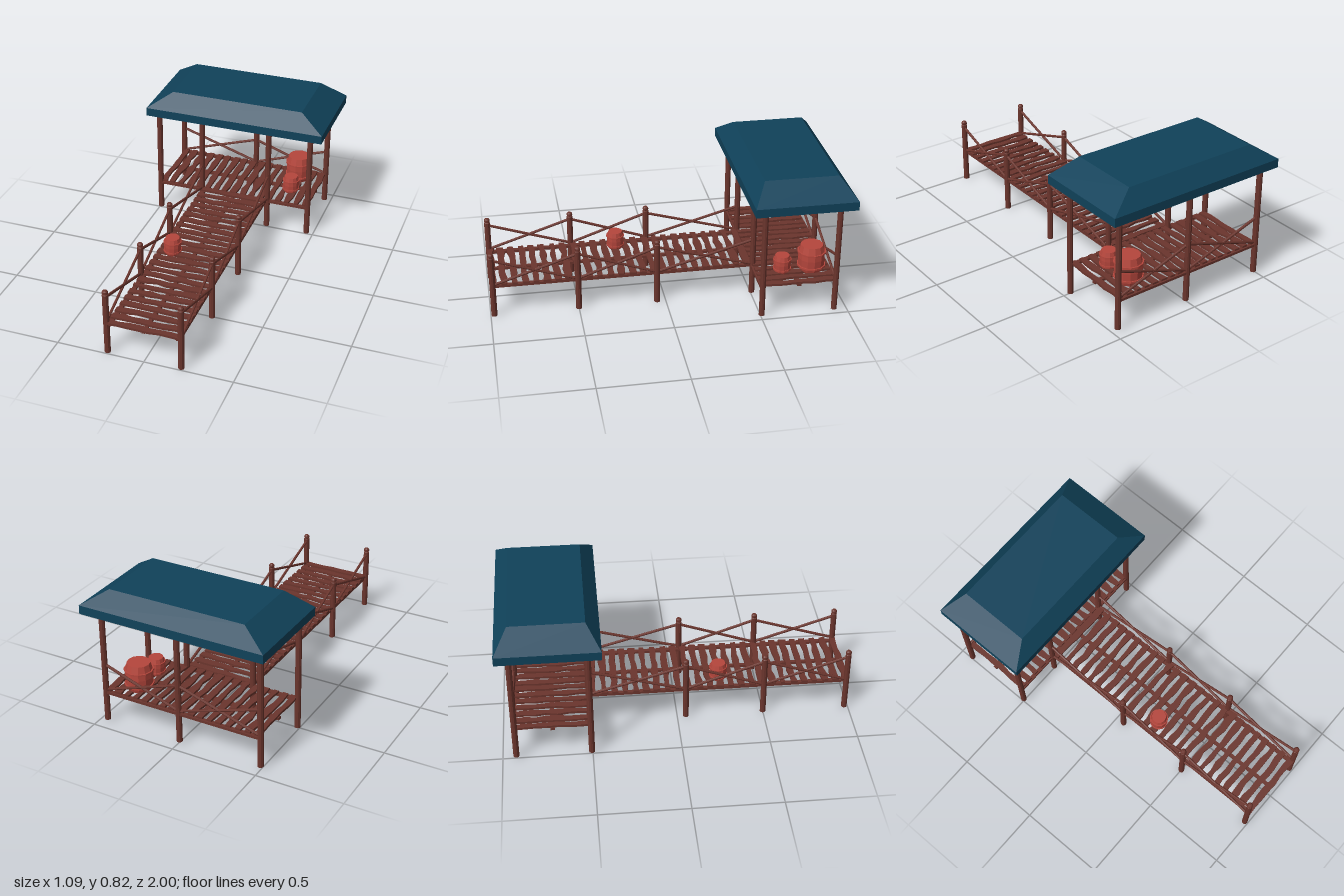
import * as THREE from 'three';

const wood = new THREE.MeshStandardMaterial({ color: 0x6b352d, flatShading: true });
wood.name = 'wood';
const roofBlue = new THREE.MeshStandardMaterial({ color: 0x10425a, flatShading: true });
roofBlue.name = 'roofBlue';
const barrelRed = new THREE.MeshStandardMaterial({ color: 0xb5463c, flatShading: true });
barrelRed.name = 'barrelRed';

let seed = 7;
const rand = () => (seed = (seed * 16807) % 2147483647) / 2147483647;

function add(parent, name, geometry, material, x = 0, y = 0, z = 0) {
  const mesh = new THREE.Mesh(geometry, material);
  mesh.name = name;
  mesh.position.set(x, y, z);
  parent.add(mesh);
  return mesh;
}

const lathe = (points, sides) =>
  new THREE.LatheGeometry(points.map(([r, y]) => new THREE.Vector2(r, y)), sides);

// Round pole between two points
function pole(parent, name, a, b, radius) {
  const from = new THREE.Vector3(...a), to = new THREE.Vector3(...b);
  const dir = to.clone().sub(from);
  const mesh = add(parent, name, new THREE.CylinderGeometry(radius, radius, dir.length(), 8), wood);
  mesh.position.copy(from).add(to).multiplyScalar(0.5);
  mesh.quaternion.setFromUnitVectors(new THREE.Vector3(0, 1, 0), dir.normalize());
}

// Pair of crossed braces between two posts
function crossBrace(parent, [x1, z1], [x2, z2]) {
  pole(parent, 'brace', [x1, 0.353, z1], [x2, 0.195, z2], 0.008);
  pole(parent, 'brace', [x1, 0.195, z1], [x2, 0.353, z2], 0.008);
}

// Rough plank along x with uneven long edges
function plankGeometry(length, width) {
  const segments = 7;
  const geo = new THREE.BoxGeometry(length, 0.013, width, segments, 1, 1);
  const edges = [0, 1].map(() => Array.from({ length: segments + 1 }, () => (rand() - 0.5) * 0.014));
  const p = geo.attributes.position;
  for (let i = 0; i < p.count; i++) {
    const k = Math.round((p.getX(i) / length + 0.5) * segments);
    p.setZ(i, p.getZ(i) + edges[p.getZ(i) > 0 ? 1 : 0][k]);
  }
  geo.computeVertexNormals();
  return geo;
}

// Barrel with bulging staves and two hoops
function barrel(parent, x, z, radius, height) {
  const group = new THREE.Group();
  group.name = 'barrel';
  group.position.set(x, 0.195, z);
  parent.add(group);
  const r = radius, h = height;
  add(group, 'barrelBody', lathe([
    [0, 0], [r * 0.8, 0], [r * 0.94, h * 0.22], [r * 0.97, h * 0.5],
    [r * 0.94, h * 0.74], [r * 0.8, h], [0, h],
  ], 12), barrelRed);
  for (const t of [0.2, 0.73]) {
    add(group, 'barrelHoop', lathe([
      [r * 0.9, h * t - 0.005], [r * 1.03, h * t - 0.005],
      [r * 1.03, h * t + 0.005], [r * 0.9, h * t + 0.005],
    ], 12), barrelRed);
  }
}

export function createModel() {
  const model = new THREE.Group();
  model.name = 'coveredPier';
  const pier = new THREE.Group();
  pier.name = 'pier';
  const pavilion = new THREE.Group();
  pavilion.name = 'pavilion';
  model.add(pier, pavilion);

  const left = 0.205, right = -0.215;
  const front = -0.505, back = -0.925;

  // Pier posts with grooved, rounded tops
  const postProfile = [
    [0, 0], [0.017, 0], [0.017, 0.37], [0.013, 0.373], [0.013, 0.377],
    [0.017, 0.38], [0.016, 0.39], [0.01, 0.397], [0, 0.398],
  ];
  const stations = [0.98, 0.5, 0.05, front];
  for (const x of [left, right]) {
    for (let i = 0; i < 3; i++) {
      add(pier, 'pierPost', lathe(postProfile, 10), wood, x, 0, stations[i]);
      crossBrace(pier, [x, stations[i]], [x, stations[i + 1]]);
    }
  }

  // Pier deck: long beams and cross planks
  for (const x of [-0.2, -0.005, 0.19]) {
    add(pier, 'pierBeam', new THREE.BoxGeometry(x === -0.005 ? 0.02 : 0.024, 0.014, 1.49),
      wood, x, 0.182, 0.24);
  }
  const pierPlanks = 25;
  for (let i = 0; i < pierPlanks; i++) {
    add(pier, 'pierPlank', plankGeometry(0.415, 0.035), wood, -0.005, 0.194, 0.975 - i * 0.0605);
  }

  // Pavilion posts
  for (const [x, z] of [[-0.49, front], [right, front], [left, front], [0.46, front],
    [-0.49, back], [0, back], [0.46, back]]) {
    add(pavilion, 'pavilionPost', new THREE.CylinderGeometry(0.017, 0.017, 0.67, 10),
      wood, x, 0.343, z);
  }
  crossBrace(pavilion, [-0.49, back], [0, back]);
  crossBrace(pavilion, [0, back], [0.46, back]);

  // Pavilion deck: beams across, planks from front to back
  for (const z of [front, -0.715, back]) {
    add(pavilion, 'deckBeam', new THREE.BoxGeometry(0.95, 0.014, 0.024), wood, -0.015, 0.182, z);
  }
  const deckPlanks = 17;
  for (let i = 0; i < deckPlanks; i++) {
    const plank = add(pavilion, 'deckPlank', plankGeometry(0.425, 0.036), wood,
      -0.47 + i * 0.057, 0.194, -0.715);
    plank.rotation.y = Math.PI / 2;
  }

  // Roof: upright rim with a sloped, flat-topped hip above
  const roof = new THREE.BoxGeometry(1.09, 0.1, 0.57, 1, 2, 1);
  const p = roof.attributes.position;
  for (let i = 0; i < p.count; i++) {
    const y = p.getY(i);
    if (y > 0.01) {
      p.setXYZ(i, Math.sign(p.getX(i)) * 0.4, 0.818, Math.sign(p.getZ(i)) * 0.208);
    } else {
      p.setY(i, y < -0.01 ? 0.672 : 0.722);
    }
  }
  roof.computeVertexNormals();
  add(pavilion, 'roof', roof, roofBlue, 0, 0, -0.715);

  // Barrels
  barrel(model, -0.123, 0.245, 0.051, 0.104);
  barrel(model, 0.312, -0.65, 0.051, 0.104);
  barrel(model, 0.312, -0.82, 0.08, 0.159);

  return model;
}
